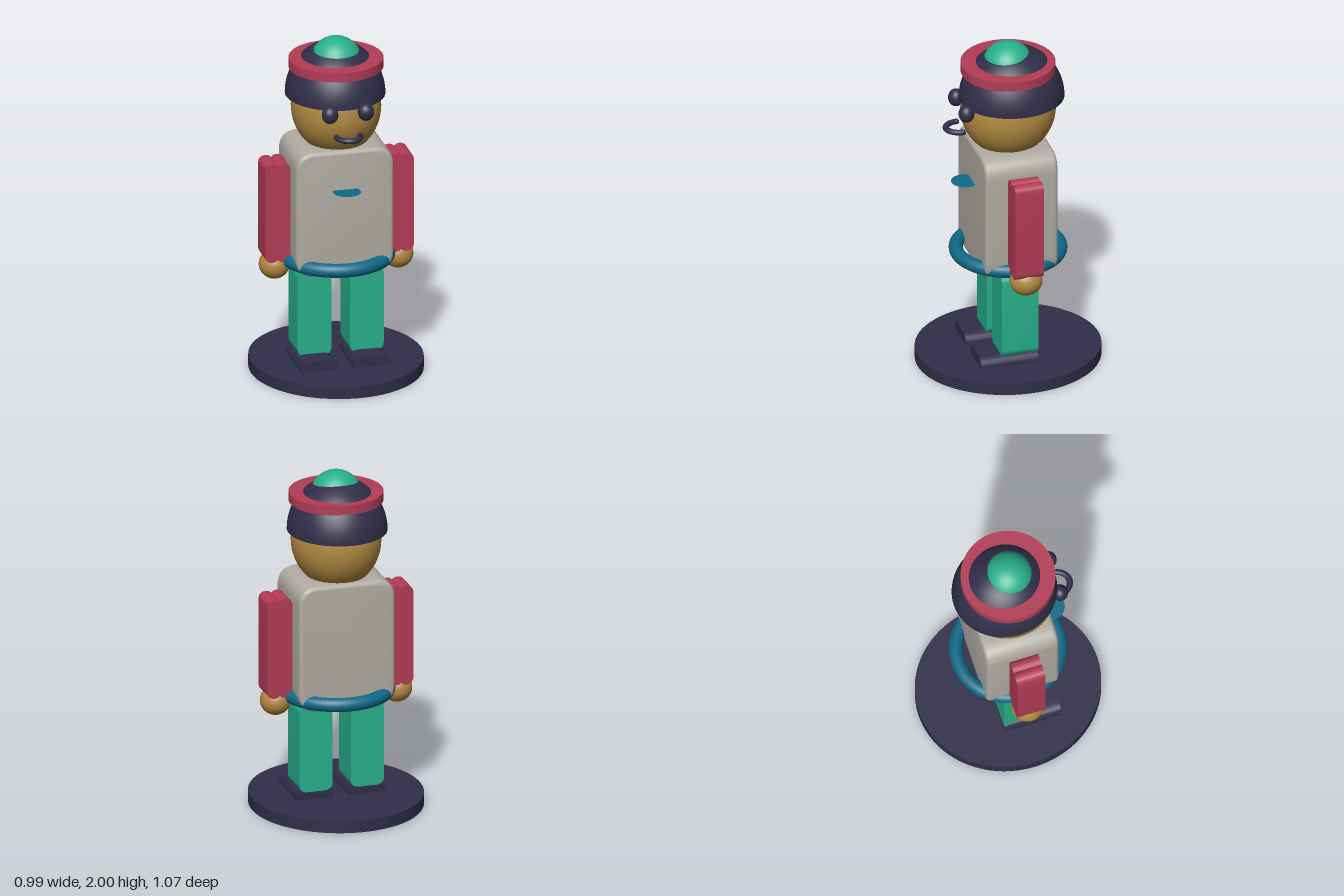
import * as THREE from 'three';
import { toCreasedNormals } from 'three/addons/utils/BufferGeometryUtils.js';

const paint = (name, color) => {
  const m = new THREE.MeshStandardMaterial({ color });
  m.name = name;
  return m;
};

// Rounded rectangle centred on the origin
function roundedRect(w, h, r) {
  const s = new THREE.Shape(), x = w / 2, y = h / 2;
  s.moveTo(-x + r, -y);
  s.lineTo(x - r, -y);
  s.quadraticCurveTo(x, -y, x, -y + r);
  s.lineTo(x, y - r);
  s.quadraticCurveTo(x, y, x - r, y);
  s.lineTo(-x + r, y);
  s.quadraticCurveTo(-x, y, -x, y - r);
  s.lineTo(-x, -y + r);
  s.quadraticCurveTo(-x, -y, -x + r, -y);
  return s;
}

// Arm outline: two small lobes with a groove at each end
function armShape(w, h) {
  const s = new THREE.Shape(), x = w / 2, y = h / 2, r = 0.045, g = 0.012, d = 0.015;
  s.moveTo(-x, -y + r);
  s.quadraticCurveTo(-x, -y, -x + r, -y);
  s.lineTo(-g, -y + 0.004);
  s.lineTo(0, -y + d);
  s.lineTo(g, -y + 0.004);
  s.lineTo(x - r, -y);
  s.quadraticCurveTo(x, -y, x, -y + r);
  s.lineTo(x, y - r);
  s.quadraticCurveTo(x, y, x - r, y);
  s.lineTo(g, y - 0.004);
  s.lineTo(0, y - d);
  s.lineTo(-g, y - 0.004);
  s.lineTo(-x + r, y);
  s.quadraticCurveTo(-x, y, -x, y - r);
  return s;
}

// Extrusion along z, centred in depth, with an optional rounded rim
function slab(shape, depth, bevel = 0) {
  const g = new THREE.ExtrudeGeometry(shape, {
    depth: depth - 2 * bevel, curveSegments: 10, bevelEnabled: bevel > 0,
    bevelThickness: bevel, bevelSize: bevel, bevelOffset: -bevel, bevelSegments: 5,
  });
  g.translate(0, 0, -depth / 2 + bevel);
  return toCreasedNormals(g, 0.6);
}

export function createModel() {
  const model = new THREE.Group();
  const navy = paint('navy', 0x302e49);
  const navyShell = paint('navy shell', 0x302e49);
  navyShell.side = THREE.DoubleSide;
  const red = paint('red', 0xb33c56);
  const green = paint('green', 0x27b08a);
  const grey = paint('warm grey', 0xb0aca3);
  const gold = paint('gold skin', 0xaf883f);
  const teal = paint('teal', 0x0f6988);
  const tealDisc = paint('teal disc', 0x0f6988);
  tealDisc.side = THREE.DoubleSide;

  const add = (name, geometry, material, x, y, z) => {
    const mesh = new THREE.Mesh(geometry, material);
    mesh.name = name;
    mesh.position.set(x, y, z);
    model.add(mesh);
    return mesh;
  };
  const ball = (rx, ry, rz) => new THREE.SphereGeometry(1, 48, 32).scale(rx, ry, rz);

  // Oval stand
  add('stand', new THREE.CylinderGeometry(1, 1, 0.07, 96).scale(0.496, 1, 0.533), navy, 0, 0.035, 0);

  // Paired limbs and eyes
  for (const [label, s] of [['left', 1], ['right', -1]]) {
    add(label + 'Foot', slab(roundedRect(0.222, 0.12, 0.06), 0.34), navy, s * 0.155, 0.07, 0.066);
    add(label + 'Leg', slab(roundedRect(0.198, 0.515, 0.05), 0.215), green, s * 0.153, 0.373, 0.002);
    add(label + 'Arm', slab(armShape(0.148, 0.595), 0.168), red, s * 0.361, 0.99, 0);
    add(label + 'Hand', ball(0.088, 0.085, 0.094), gold, s * 0.362, 0.655, 0);
    add(label + 'Eye', ball(0.047, 0.052, 0.045), navy, s * 0.105, 1.636, 0.277);
  }

  // Body with belt ring and a small flat chest disc
  add('torso', slab(roundedRect(0.572, 0.755, 0.115), 0.43, 0.025), grey, 0, 1.008, 0);
  add('belt', new THREE.TorusGeometry(0.297, 0.04, 24, 96).rotateX(Math.PI / 2), teal, 0, 0.69, 0);
  add('chestDisc', new THREE.CircleGeometry(0.08, 40).rotateX(-Math.PI / 2), tealDisc, 0, 1.15, 0.255);

  // Head and curved mouth with rounded ends
  add('head', ball(0.256, 0.28, 0.274), gold, 0, 1.588, 0);
  const mouth = new THREE.TorusGeometry(0.07, 0.016, 16, 40, Math.PI).rotateX(Math.PI / 2);
  add('mouth', mouth.scale(1, 1, 1.15), navy, 0, 1.5, 0.285);
  for (const s of [1, -1]) add('mouthEnd', ball(0.016, 0.016, 0.016), navy, s * 0.07, 1.5, 0.285);

  // Hat: dome, brim band and crown button
  const dome = new THREE.SphereGeometry(1, 64, 24, 0, Math.PI * 2, 0, Math.PI / 2);
  add('hatDome', dome.scale(0.285, 0.305, 0.302), navyShell, 0, 1.655, -0.021);
  add('hatBand', new THREE.CylinderGeometry(0.27, 0.27, 0.055, 80), red, 0, 1.852, 0);
  add('hatButton', ball(0.15, 0.15, 0.15), green, 0, 1.85, 0);

  return model;
}
